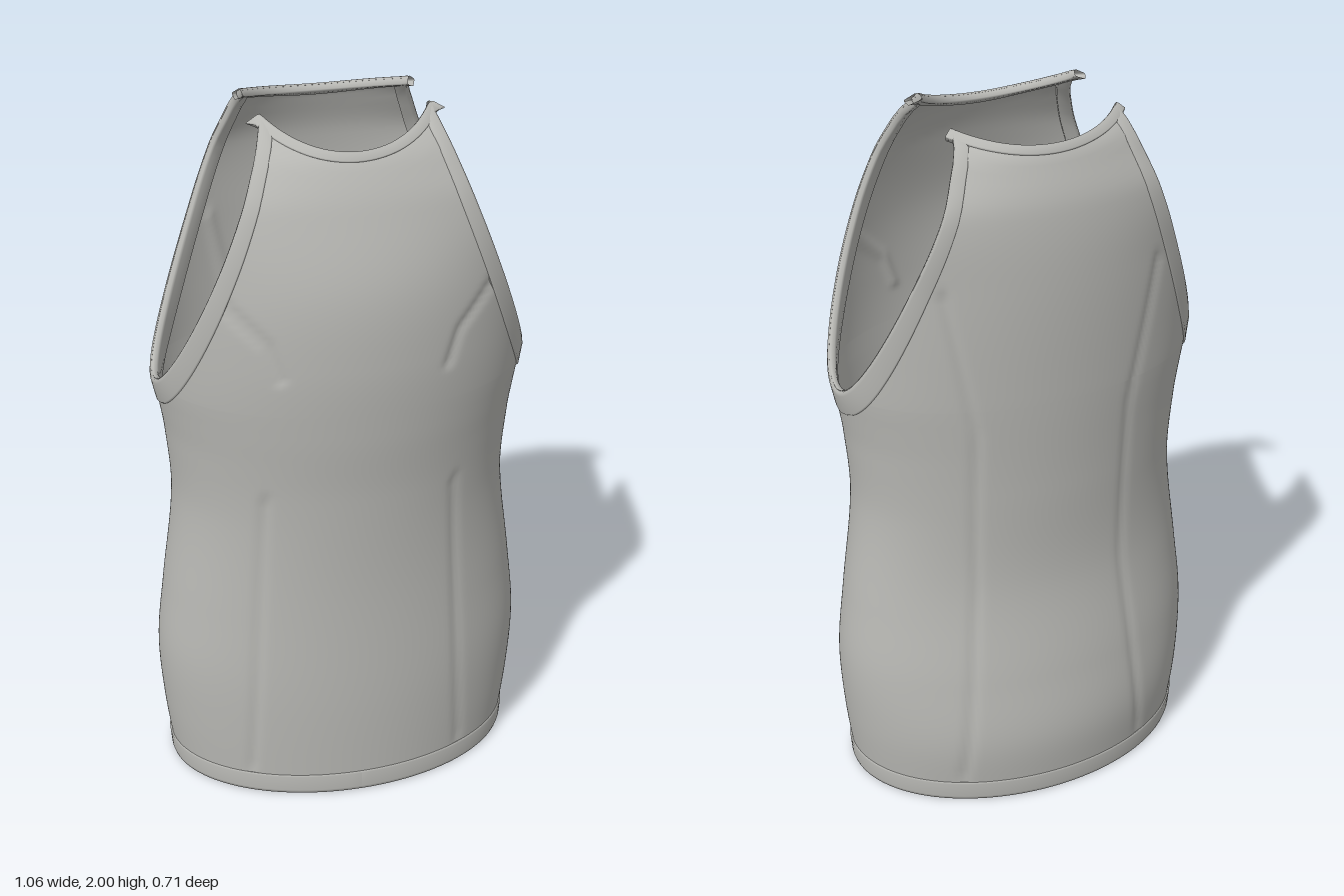
import * as THREE from 'three';
import { mergeGeometries, mergeVertices } from 'three/addons/utils/BufferGeometryUtils.js';

// Smooth interpolation through [y, value] pairs
function profile(pts) {
  const slope = (i) => {
    const a = pts[Math.max(i - 1, 0)], b = pts[Math.min(i + 1, pts.length - 1)];
    return (b[1] - a[1]) / (b[0] - a[0]);
  };
  return (y) => {
    if (y <= pts[0][0]) return pts[0][1];
    if (y >= pts[pts.length - 1][0]) return pts[pts.length - 1][1];
    let i = 0;
    while (y > pts[i + 1][0]) i++;
    const h = pts[i + 1][0] - pts[i][0], t = (y - pts[i][0]) / h, t2 = t * t, t3 = t2 * t;
    return (2 * t3 - 3 * t2 + 1) * pts[i][1] + (t3 - 2 * t2 + t) * h * slope(i)
      + (3 * t2 - 2 * t3) * pts[i + 1][1] + (t3 - t2) * h * slope(i + 1);
  };
}

// Half width, front depth and back depth of the oval section at each height
const halfWidth = profile([[0, 0.5], [0.2, 0.522], [0.4, 0.53], [0.6, 0.508], [0.9, 0.47], [1.1, 0.48],
  [1.2, 0.494], [1.27, 0.505], [1.4, 0.51], [1.6, 0.515], [1.8, 0.525], [1.9, 0.42], [2, 0.32]]);
const frontDepth = profile([[0, 0.312], [0.3, 0.318], [0.7, 0.315], [1, 0.328], [1.2, 0.347], [1.4, 0.357],
  [1.6, 0.343], [1.8, 0.285], [1.88, 0.25], [1.93, 0.217], [2, 0.12]]);
const backDepth = profile([[0, 0.338], [0.2, 0.355], [0.4, 0.33], [0.7, 0.285], [1, 0.29], [1.3, 0.305],
  [1.6, 0.311], [1.8, 0.297], [1.9, 0.265], [1.95, 0.238], [2, 0.15]]);
const depth = (y, side) => (side > 0 ? frontDepth(y) : backDepth(y));

const ARM = 1.27; // height of the armhole's lowest point
const armX = (y) => 0.505 - 0.397 * (y - ARM); // straight armhole cut
const neckY = (u, side) => (side > 0 ? 1.93 + 0.07 * u * u : 1.95 + 0.035 * u * u);
const zAt = (x, y, side) => side * depth(y, side) * Math.sqrt(Math.max(0, 1 - (x / halfWidth(y)) ** 2));

// Distance from a point to a line segment, used for sewn creases
function segDist(x, y, [x0, y0, x1, y1]) {
  const dx = x1 - x0, dy = y1 - y0;
  const t = THREE.MathUtils.clamp(((x - x0) * dx + (y - y0) * dy) / (dx * dx + dy * dy), 0, 1);
  return Math.hypot(x - x0 - t * dx, y - y0 - t * dy);
}
const frontSeams = [[0.36, 1.58, 0.25, 1.47], [0.25, 1.47, 0.22, 1.38], [0.26, 1.0, 0.31, 0.08]];
const backSeams = [[0.3, 1.6, 0.22, 1.2], [0.22, 1.2, 0.22, 0.7], [0.22, 0.7, 0.28, 0.08]];
function crease(x, y, side) {
  let c = 0;
  for (const s of side > 0 ? frontSeams : backSeams) {
    c = Math.max(c, Math.exp(-((segDist(Math.abs(x), y, s) / 0.014) ** 2)));
  }
  return 1 - 0.016 * c;
}

// One half of the cloth: full body rows, then the narrowing chest panel
function clothHalf(side) {
  const cols = 110, bodyRows = 56, panelRows = 50, pos = [], idx = [];
  for (let j = 0; j <= bodyRows + panelRows; j++) {
    for (let i = 0; i <= cols; i++) {
      const u = Math.sin((i / cols - 0.5) * Math.PI);
      let y, x;
      if (j <= bodyRows) {
        y = ARM * j / bodyRows;
        x = u * halfWidth(y);
      } else {
        y = ARM + (neckY(u, side) - ARM) * ((j - bodyRows) / panelRows) ** 1.6;
        x = u * armX(y);
      }
      const k = crease(x, y, side);
      pos.push(x * k, y, zAt(x, y, side) * k);
      if (i < cols && j < bodyRows + panelRows) {
        const a = j * (cols + 1) + i, b = a + 1, c = a + cols + 1, d = c + 1;
        if (side > 0) idx.push(a, b, d, a, d, c);
        else idx.push(a, d, b, a, c, d);
      }
    }
  }
  const g = new THREE.BufferGeometry();
  g.setAttribute('position', new THREE.Float32BufferAttribute(pos, 3));
  g.setIndex(idx);
  return g;
}

// Outward normal of the oval loft
function clothNormal(p) {
  const f = (x, y, z) => (x / halfWidth(y)) ** 2 + (z / depth(y, z >= 0 ? 1 : -1)) ** 2;
  const e = 0.002;
  return new THREE.Vector3(
    f(p.x + e, p.y, p.z) - f(p.x - e, p.y, p.z),
    f(p.x, p.y + e, p.z) - f(p.x, p.y - e, p.z),
    f(p.x, p.y, p.z + e) - f(p.x, p.y, p.z - e)).normalize();
}

// Folded band sewn along an edge; away points off the cloth
function band(point, width, away, steps) {
  const section = [[1, 0], [0.94, 0.005], [0.2, 0.007], [0.04, 0.005], [0, -0.004],
    [0.04, -0.014], [0.2, -0.017], [0.94, -0.014], [1, 0]];
  const pos = [], idx = [], m = section.length;
  for (let i = 0; i <= steps; i++) {
    const t = i / steps, p = point(t), n = clothNormal(p);
    const tangent = point(Math.min(1, t + 0.003)).sub(point(Math.max(0, t - 0.003)));
    const inward = n.clone().cross(tangent).normalize();
    if (inward.dot(away) > 0) inward.negate();
    section.forEach(([d, off], j) => {
      const q = p.clone().addScaledVector(inward, d * width(t));
      const side = q.z >= 0 ? 1 : -1;
      if (q.y > ARM) q.y = Math.min(q.y, neckY(THREE.MathUtils.clamp(q.x / armX(q.y), -1, 1), side));
      const k = 1 / Math.hypot(q.x / halfWidth(q.y), q.z / depth(q.y, side));
      q.x *= k;
      q.z *= k;
      q.addScaledVector(n, off);
      pos.push(q.x, Math.max(0, Math.min(2, q.y)), q.z);
      if (i < steps && j < m - 1) {
        const a = i * m + j;
        idx.push(a, a + 1, a + m, a + 1, a + m + 1, a + m);
      }
    });
  }
  const g = new THREE.BufferGeometry();
  g.setAttribute('position', new THREE.Float32BufferAttribute(pos, 3));
  g.setIndex(idx);
  g.computeVertexNormals();
  return g;
}

export function createModel() {
  const group = new THREE.Group();
  const fabric = new THREE.MeshStandardMaterial({ color: 0xb8b8b4, side: THREE.DoubleSide });
  fabric.name = 'greyFabric';
  const add = (name, geometry) => {
    const mesh = new THREE.Mesh(geometry, fabric);
    mesh.name = name;
    group.add(mesh);
  };

  // Cloth, joined smoothly at the side seams
  const cloth = mergeVertices(mergeGeometries([clothHalf(1), clothHalf(-1)]), 1e-4);
  cloth.computeVertexNormals();
  add('topBody', cloth);

  // Armhole bindings, from front corner down under the arm to back corner
  for (const s of [1, -1]) {
    const edge = (t) => {
      const q = 1 - 2 * t, side = q >= 0 ? 1 : -1;
      const y = ARM + (neckY(1, side) - ARM) * q * q, x = s * armX(y);
      return new THREE.Vector3(x, y, zAt(x, y, side));
    };
    const width = (t) => 0.075 - 0.04 * Math.abs(1 - 2 * t);
    add(s > 0 ? 'leftArmholeBinding' : 'rightArmholeBinding',
      band(edge, width, new THREE.Vector3(s * 0.73, 0.3, 0), 90));
  }

  // Neckline bindings
  for (const side of [1, -1]) {
    const edge = (t) => {
      const u = 2 * t - 1, y = neckY(u, side), x = u * armX(y);
      return new THREE.Vector3(x, y, zAt(x, y, side));
    };
    add(side > 0 ? 'frontNeckBinding' : 'backNeckBinding',
      band(edge, () => 0.03, new THREE.Vector3(0, 1, 0), 40));
  }

  // Bottom hem
  const hemEdge = (t) => {
    const a = t * Math.PI * 2, z = Math.cos(a);
    return new THREE.Vector3(halfWidth(0) * Math.sin(a), 0, z * depth(0, z >= 0 ? 1 : -1));
  };
  add('bottomHem', band(hemEdge, () => 0.065, new THREE.Vector3(0, -1, 0), 120));

  return group;
}
